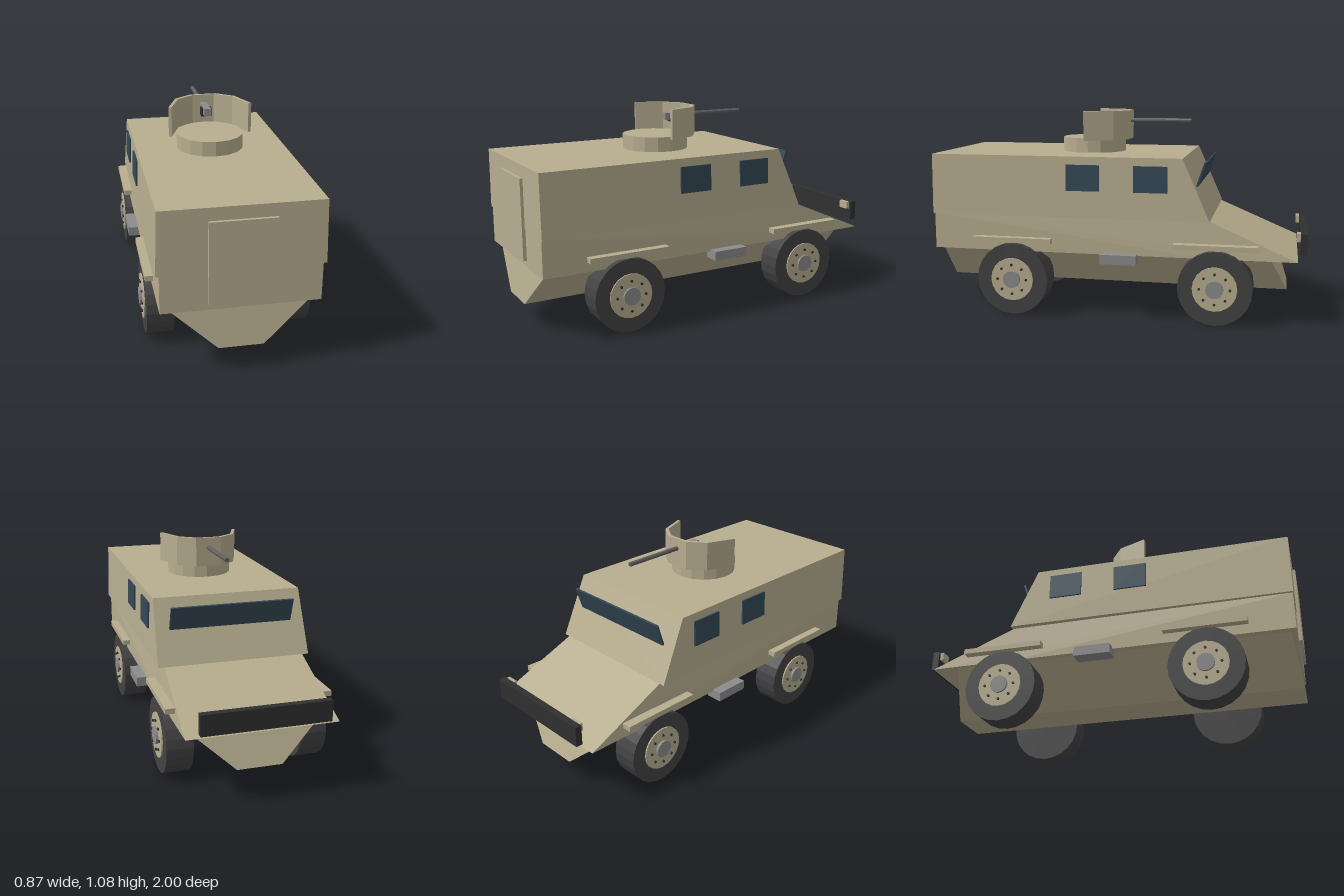
import * as THREE from 'three';
import { ConvexGeometry } from 'three/addons/geometries/ConvexGeometry.js';

const paint = (color) => new THREE.MeshStandardMaterial({ color, flatShading: true });

export function createModel() {
  const model = new THREE.Group();
  const tan = paint(0xb8ae90), rubber = paint(0x434343), dark = paint(0x303030);
  const grey = paint(0x8c8c8c), glass = paint(0x344856), gunMetal = paint(0x606060);

  const add = (name, geometry, material, parent = model) => {
    const mesh = new THREE.Mesh(geometry, material);
    mesh.name = name;
    parent.add(mesh);
    return mesh;
  };
  // Box given by its limits on each axis
  const box = (name, [x0, x1], [y0, y1], [z0, z1], material, parent) => {
    const mesh = add(name, new THREE.BoxGeometry(x1 - x0, y1 - y0, z1 - z0), material, parent);
    mesh.position.set((x0 + x1) / 2, (y0 + y1) / 2, (z0 + z1) / 2);
    return mesh;
  };
  // Mirrored solid from corners listed as [half width, y, z]
  const solid = (name, corners) => add(name, new ConvexGeometry(
    corners.flatMap(([x, y, z]) => [new THREE.Vector3(x, y, z), new THREE.Vector3(-x, y, z)])), tan);

  // Body: V-shaped belly, lower body with sloping bonnet, and cabin
  solid('belly', [
    [0.345, 0.345, 0.955], [0.11, 0.132, 0.988],
    [0.36, 0.345, -0.82], [0.115, 0.132, -0.905],
  ]);
  solid('lowerBody', [
    [0.384, 0.342, 0.982], [0.384, 0.535, 0.982],
    [0.384, 0.342, -0.5], [0.368, 0.535, -0.505], [0.38, 0.342, -0.955],
  ]);
  solid('cabin', [
    [0.4, 0.535, 0.985], [0.39, 0.855, 0.985],
    [0.4, 0.535, -0.51], [0.39, 0.855, -0.368],
  ]);
  box('rearDoor', [-0.16, 0.16], [0.375, 0.79], [0.97, 1], tan);

  // Tilted windscreen plate
  const screen = add('windscreen', new THREE.BoxGeometry(0.645, 0.127, 0.01), glass);
  screen.position.set(0, 0.766, -0.455);
  screen.rotation.x = -0.32;

  // Bumper and its lamps
  box('bumper', [-0.32, 0.32], [0.37, 0.476], [-1, -0.965], dark);

  // Parts repeated on both sides
  for (const side of [-1, 1]) {
    const span = (a, b) => (side > 0 ? [a, b] : [-b, -a]);
    box('bumperLamp', span(0.243, 0.305), [0.433, 0.475], [-0.968, -0.946], tan);
    box('sideStep', span(0.35, 0.437), [0.302, 0.352], [-0.137, 0.055], grey);

    for (const z of [0.153, -0.205]) {
      const pane = add('sideWindow', new THREE.BoxGeometry(0.012, 0.136, 0.176), glass);
      pane.position.set(side * 0.3965, 0.745, z);
      pane.rotation.z = side * 0.031;
    }
    for (const z of [0.539, -0.542]) {
      box('mudguard', span(0.36, 0.425), [0.392, 0.419], [z - 0.216, z + 0.216], tan);

      // Wheel, built along its axle with the outside at +y
      const wheel = new THREE.Group();
      wheel.name = 'wheel';
      const disc = (name, radius, from, to, material, sides) => {
        const mesh = add(name, new THREE.CylinderGeometry(radius, radius, to - from, sides), material, wheel);
        mesh.position.y = (from + to) / 2;
        return mesh;
      };
      disc('tyre', 0.193, 0.28, 0.416, rubber, 24);
      disc('rim', 0.116, 0.36, 0.423, tan, 20);
      disc('hub', 0.046, 0.4, 0.435, grey, 16);
      for (let i = 0; i < 8; i++) {
        const a = (i * Math.PI) / 4;
        const nut = disc('wheelNut', 0.007, 0.415, 0.431, dark, 6);
        nut.position.x = Math.cos(a) * 0.079;
        nut.position.z = Math.sin(a) * 0.079;
      }
      wheel.rotation.z = -side * Math.PI / 2;
      wheel.position.set(0, 0.193, z);
      model.add(wheel);
    }
  }

  // Turret ring
  const ring = add('turretRing', new THREE.CylinderGeometry(0.176, 0.176, 0.085, 16), tan);
  ring.position.set(0, 0.89, 0.177);

  // Folded gun shield: outer outline out, inner outline back
  const outer = [[-0.219, 0.19], [-0.161, 0.038], [-0.07, -0.03]];
  const inner = [[-0.058, -0.014], [-0.147, 0.049], [-0.203, 0.194]];
  const mirrored = (list) => list.map(([x, z]) => [-x, z]).reverse();
  const outline = [...outer, ...mirrored(outer), ...mirrored(inner), ...inner];
  const shieldShape = new THREE.Shape(outline.map(([x, z]) => new THREE.Vector2(x, -z)));
  const shield = add('gunShield',
    new THREE.ExtrudeGeometry(shieldShape, { depth: 0.157, bevelEnabled: false }), tan);
  shield.rotation.x = -Math.PI / 2;
  shield.position.y = 0.923;

  // Machine gun
  box('gunReceiver', [-0.018, 0.018], [1, 1.038], [-0.02, 0.12], grey);
  box('gunMount', [-0.028, 0.028], [0.988, 1.032], [0.045, 0.085], dark);
  const barrel = add('gunBarrel', new THREE.CylinderGeometry(0.012, 0.012, 0.37, 10), gunMetal);
  barrel.rotation.x = Math.PI / 2;
  barrel.position.set(0, 1.025, -0.18);

  return model;
}
